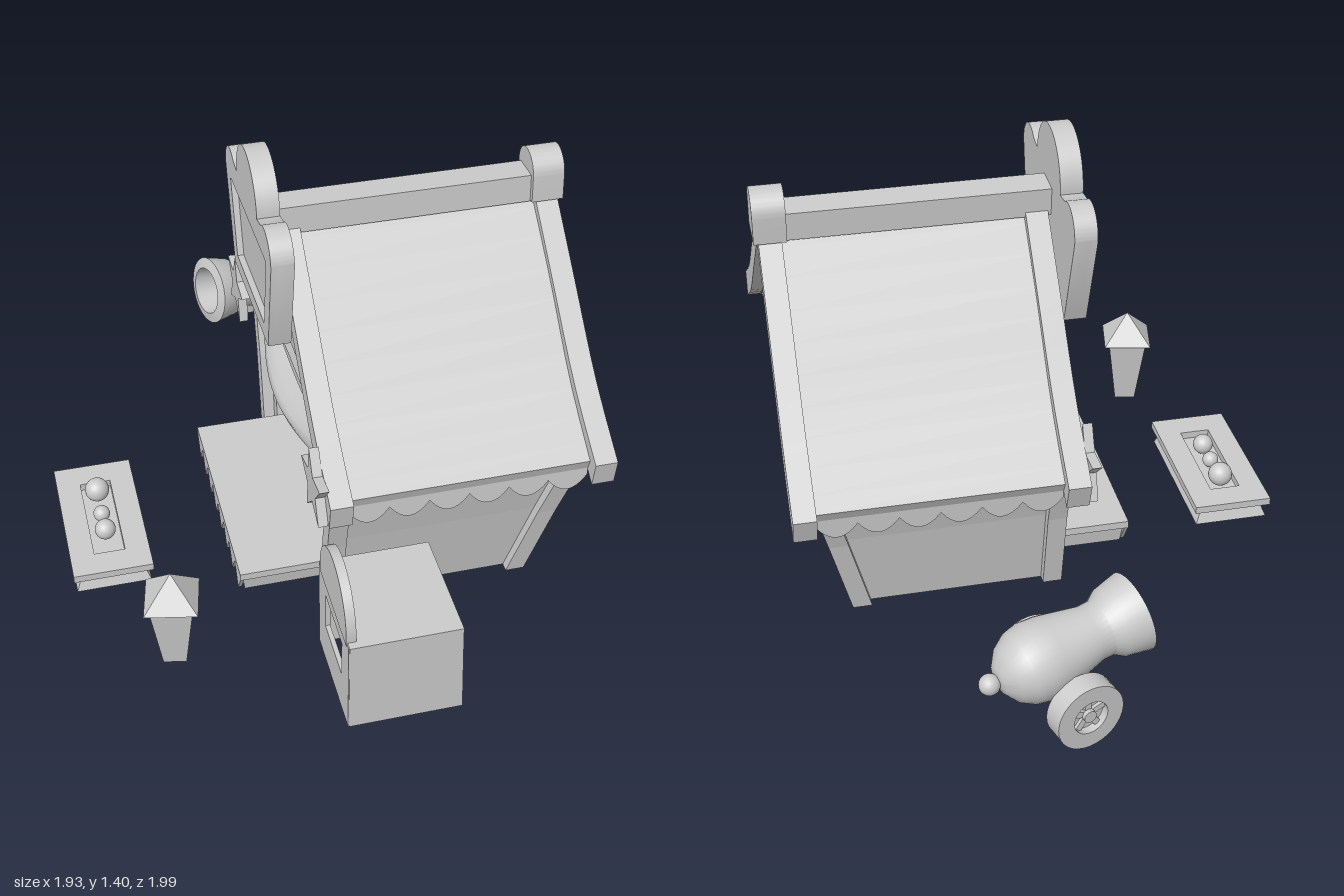
import * as THREE from 'three';
import { toCreasedNormals } from 'three/addons/utils/BufferGeometryUtils.js';

const grey = new THREE.MeshStandardMaterial({ color: 0xcccccc });
const thin = new THREE.MeshStandardMaterial({ color: 0xcccccc, side: THREE.DoubleSide });

function add(parent, name, geo, x = 0, y = 0, z = 0, mat = grey) {
  const m = new THREE.Mesh(geo, mat);
  m.name = name;
  m.position.set(x, y, z);
  parent.add(m);
  return m;
}
function group(parent, name, x = 0, y = 0, z = 0) {
  const g = new THREE.Group();
  g.name = name;
  g.position.set(x, y, z);
  parent.add(g);
  return g;
}
const points = (pts) => pts.map(([x, y]) => new THREE.Vector2(x, y));
const outline = (pts) => new THREE.Shape(points(pts));
// Prism along z, centred on z = 0
function prism(shape, depth, smooth = 0.5) {
  const g = new THREE.ExtrudeGeometry(shape, { depth, bevelEnabled: false, curveSegments: 16 });
  g.translate(0, 0, -depth / 2);
  return toCreasedNormals(g, smooth);
}
// Move every vertex by a rule, keeping flat faces
function reshape(geo, rule) {
  const p = geo.attributes.position, v = new THREE.Vector3();
  for (let i = 0; i < p.count; i++) {
    rule(v.fromBufferAttribute(p, i));
    p.setXYZ(i, v.x, v.y, v.z);
  }
  geo.computeVertexNormals();
  return geo;
}
// Box standing on y = 0 whose bottom is scaled; it can be left open on top
function taperBox(w, h, d, sx, sz, open = false) {
  const g = new THREE.BoxGeometry(w, h, d).translate(0, h / 2, 0);
  if (open) {
    const idx = Array.from(g.index.array);
    idx.splice(12, 6);
    g.setIndex(idx);
  }
  return reshape(g, (v) => {
    if (v.y < h / 2) v.set(v.x * sx, 0, v.z * sz);
  });
}
// Hanging cloth with a wavy lower edge
function scallops(length, drop, n) {
  const s = new THREE.Shape();
  s.moveTo(-length / 2, 0);
  const w = length / n;
  s.lineTo(-length / 2, -drop * 0.5);
  for (let i = 0; i < n; i++) {
    const x = -length / 2 + i * w;
    s.quadraticCurveTo(x + w / 2, -drop * 1.5, x + w, -drop * 0.5);
  }
  s.lineTo(length / 2, 0);
  return new THREE.ShapeGeometry(s, 8);
}
// Both roof slopes as one sagging strip
function roofStrip(half, top, eave, thick, depth) {
  const curve = new THREE.SplineCurve(points([[half, eave], [half * 0.68, eave + 0.16], [half * 0.34, eave + 0.39], [0, top]]));
  const right = curve.getPoints(10).map((p) => [p.x, p.y]);
  const upper = [...right, ...right.slice(0, -1).reverse().map(([x, y]) => [-x, y])];
  const lower = upper.map(([x, y]) => [x * 0.97, y - thick]).reverse();
  return prism(outline([...upper, ...lower]), depth);
}
function star(r) {
  const pts = [];
  for (let i = 0; i < 10; i++) {
    const a = Math.PI / 2 + i * Math.PI / 5, k = i % 2 ? r * 0.42 : r;
    pts.push([Math.cos(a) * k, Math.sin(a) * k]);
  }
  return prism(outline(pts), 0.03, 0.1);
}
function crown() {
  const s = outline([[-0.25, 0.87], [0.25, 0.87], [0.335, 1.19]]);
  s.absarc(0.25, 1.19, 0.085, 0, 2.2);
  s.absarc(0, 1.25, 0.15, 0, Math.PI);
  s.absarc(-0.25, 1.19, 0.085, Math.PI - 2.2, Math.PI);
  return s;
}

function buildRoof(booth) {
  // The whole roof leans a little to one side
  const tilt = group(booth, 'roof', 0, 0.53, 0);
  tilt.rotation.z = 0.06;
  const roof = group(tilt, 'roofParts', 0, -0.53, 0);
  add(roof, 'roofSheet', roofStrip(0.64, 1.15, 0.555, 0.045, 0.8));
  for (const z of [-0.405, 0.405]) add(roof, 'bargeBoard', roofStrip(0.685, 1.19, 0.57, 0.085, 0.07), 0, 0, z);
  add(roof, 'ridgeBeam', new THREE.BoxGeometry(0.1, 0.09, 0.86), 0, 1.17, 0.04);
  // Round-topped end block of the ridge
  const knob = outline([[-0.068, 1.13], [0.068, 1.13], [0.068, 1.215]]);
  knob.absarc(0, 1.215, 0.068, 0, Math.PI);
  add(roof, 'ridgeKnob', prism(knob, 0.1), 0, 0, -0.405);
  for (const s of [-1, 1]) {
    add(roof, 'eaveScallops', scallops(0.74, 0.09, 6), s * 0.625, 0.54, 0, thin).rotation.y = s * Math.PI / 2;
    add(roof, 'star', star(0.125), s * 0.565, 0.575, 0.455).rotation.z = s * 0.15;
  }
  // Front gable wall
  add(roof, 'gableWall', prism(outline([[-0.56, 0.55], [0.56, 0.55], [0.42, 0.66], [0.2, 0.9], [0, 1.13],
    [-0.2, 0.9], [-0.42, 0.66]]), 0.03, 0.1), 0, 0, 0.34);
  // Crown-shaped sign with a raised rim
  add(roof, 'signBoard', prism(crown(), 0.05), 0, 0, 0.475);
  const rim = crown();
  rim.holes.push(new THREE.Path(points([[-0.2, 0.92], [-0.26, 1.17], [0.26, 1.17], [0.2, 0.92]])));
  add(roof, 'signRim', prism(rim, 0.02), 0, 0, 0.51);
  // Draped swag and wavy cloth over the opening
  const swag = reshape(new THREE.PlaneGeometry(0.9, 0.13, 20, 6), (v) => {
    const c = Math.cos(v.x / 0.9 * Math.PI), bulge = Math.sin((v.y / 0.13 + 0.5) * Math.PI);
    v.y -= 0.05 * c;
    v.z = 0.02 + 0.07 * c * bulge;
  });
  add(roof, 'swag', swag, 0, 0.56, 0.37, thin);
  add(roof, 'frontScallops', scallops(0.86, 0.13, 7), 0, 0.5, 0.36, thin);
}

function buildWalls(booth) {
  // The back edge of each wall slants forward towards the ground
  const lean = (geo, z) => reshape(geo.translate(0, 0, z), (v) => {
    if (v.z < 0) v.z += 0.15 * (1 - v.y / 0.6);
  });
  for (const s of [-1, 1]) {
    const side = group(booth, 'sideWall');
    const top = s > 0 ? 0.59 : 0.53;
    const bent = (x0, x1, x2, t) => outline([[x0, 0.02], [x1, 0.3], [x2, top],
      [x2 - t, top], [x1 - t, 0.3], [x0 - t, 0.02]].map(([x, y]) => [x * s, y]));
    add(side, 'wallPanel', lean(prism(bent(0.44, 0.49, 0.55, 0.025), 0.72, 0.1), 0.02));
    for (const z of [-0.37, 0.38]) {
      add(side, 'outerPost', lean(prism(bent(0.47, 0.52, 0.585, 0.06), 0.06, 0.1), z));
      add(side, 'innerPost', lean(prism(bent(0.41, 0.44, 0.52, 0.05), 0.04, 0.1), z * 0.93));
    }
  }
  // Open counter inside the booth, wider towards the front
  const inner = reshape(taperBox(0.49, 0.31, 0.58, 0.9, 0.97, true), (v) => {
    if (v.z > 0) v.x *= 1.5;
  });
  add(booth, 'innerCounter', inner, 0.035, 0.07, 0);
  // Low front counter with triangle trim
  const counter = group(booth, 'frontCounter', 0.02, 0, 0.48);
  add(counter, 'counterTop', new THREE.BoxGeometry(0.74, 0.025, 0.36), 0, 0.11, 0);
  add(counter, 'counterBase', taperBox(0.7, 0.07, 0.34, 0.97, 0.95), 0, 0.03, 0);
  for (let i = 0; i < 8; i++) {
    const x = -0.37 + i * 0.0925;
    add(counter, 'trimTriangle', prism(outline([[x, 0.1], [x + 0.046, 0.025], [x + 0.0925, 0.1]]), 0.012), 0, 0, 0.174);
  }
}

function buildStall(booth) {
  const stall = group(booth, 'ticketStall', 0.79, 0, 0.285);
  // Front panel with a window
  const front = outline([[-0.18, 0.01], [0.18, 0.01], [0.18, 0.34], [-0.18, 0.34]]);
  front.holes.push(new THREE.Path(points([[-0.1, 0.15], [-0.1, 0.28], [0.1, 0.28], [0.1, 0.15]])));
  add(stall, 'frontPanel', prism(front, 0.015), 0, 0, 0.165);
  for (const s of [-1, 1]) {
    const leg = outline([[-0.18, 0.01], [0.17, 0.01], [0.17, 0.34], [-0.17, 0.34]]);
    // Extrusion depth becomes x
    add(stall, 'sidePanel', prism(leg, 0.015), s * 0.175, 0, 0).rotation.y = -Math.PI / 2;
  }
  add(stall, 'shelf', new THREE.BoxGeometry(0.37, 0.015, 0.34), 0, 0.335, 0);
  add(stall, 'bin', taperBox(0.22, 0.16, 0.2, 0.8, 0.8, true), 0, 0.13, 0.05);
  const arch = new THREE.Shape();
  arch.absarc(0, 0.36, 0.16, 0, Math.PI);
  arch.lineTo(-0.16, 0.33);
  arch.lineTo(0.16, 0.33);
  add(stall, 'arch', prism(arch, 0.03), 0, 0, 0.16);
}

function buildBallBoard(booth) {
  const board = group(booth, 'ballBoard', -0.02, 0, 1.04);
  add(board, 'base', taperBox(0.46, 0.05, 0.2, 1.08, 1.2), 0, 0.01, 0);
  const frame = outline([[-0.26, -0.128], [0.26, -0.128], [0.26, 0.128], [-0.26, 0.128]]);
  frame.holes.push(new THREE.Path(points([[-0.17, -0.05], [-0.17, 0.05], [0.17, 0.05], [0.17, -0.05]])));
  add(board, 'top', prism(frame, 0.025).rotateX(-Math.PI / 2), 0, 0.075, 0);
  for (const [x, r] of [[-0.115, 0.04], [-0.01, 0.027], [0.075, 0.034]]) {
    add(board, 'ball', new THREE.SphereGeometry(r, 20, 14), x, 0.065 + r, 0);
  }
}

function buildCannon(root) {
  const cannon = group(root, 'cannon', 0.59, 0, -0.79);
  cannon.rotation.y = -0.326;
  // Barrel turned along y, then laid down with the muzzle slightly raised
  const barrel = group(cannon, 'barrel', 0, 0.225, 0);
  barrel.rotation.z = Math.PI / 2 - 0.15;
  const profile = [[0, -0.21], [0.045, -0.2], [0.085, -0.17], [0.11, -0.13], [0.12, -0.085], [0.115, -0.03], [0.085, 0.1],
    [0.085, 0.14], [0.105, 0.17], [0.122, 0.25], [0.085, 0.26], [0.07, 0.14], [0, 0.14]];
  const lathe = new THREE.LatheGeometry(points(profile), 32);
  add(barrel, 'tube', toCreasedNormals(lathe, 0.6));
  add(barrel, 'knob', new THREE.SphereGeometry(0.032, 18, 12), 0, -0.23, 0);
  const axle = add(cannon, 'axle', new THREE.CylinderGeometry(0.02, 0.02, 0.28, 12), 0, 0.11, 0);
  axle.rotation.x = Math.PI / 2;
  for (const s of [-1, 1]) {
    const wheel = group(cannon, 'wheel', 0, 0.107, s * 0.145);
    const ring = new THREE.Shape().absarc(0, 0, 0.107, 0, Math.PI * 2);
    ring.holes.push(new THREE.Path().absarc(0, 0, 0.055, 0, Math.PI * 2, true));
    add(wheel, 'rim', prism(ring, 0.066));
    add(wheel, 'disc', new THREE.CylinderGeometry(0.057, 0.057, 0.015, 20).rotateX(Math.PI / 2));
    add(wheel, 'hub', new THREE.CylinderGeometry(0.02, 0.02, 0.06, 14).rotateX(Math.PI / 2));
    for (let i = 0; i < 5; i++) {
      add(wheel, 'spoke', new THREE.BoxGeometry(0.02, 0.06, 0.035).translate(0, 0.03, 0)).rotation.z = i * Math.PI * 0.4;
    }
  }
}

export function createModel() {
  const root = new THREE.Group();
  root.name = 'fairBooth';
  const booth = group(root, 'booth', 0.205, 0, 0.19);
  booth.rotation.y = -2.199;
  buildRoof(booth);
  buildWalls(booth);
  buildStall(booth);
  buildBallBoard(booth);
  buildCannon(root);
  // Four-sided litter bin with a pointed lid
  const bin = group(root, 'litterBin', -0.855, 0, 0.115);
  bin.rotation.y = -0.05;
  add(bin, 'body', new THREE.CylinderGeometry(0.092, 0.05, 0.24, 4).toNonIndexed(), 0, 0.13, 0).geometry.computeVertexNormals();
  add(bin, 'lid', new THREE.ConeGeometry(0.115, 0.1, 4).toNonIndexed(), 0, 0.3, 0).geometry.computeVertexNormals();
  return root;
}
